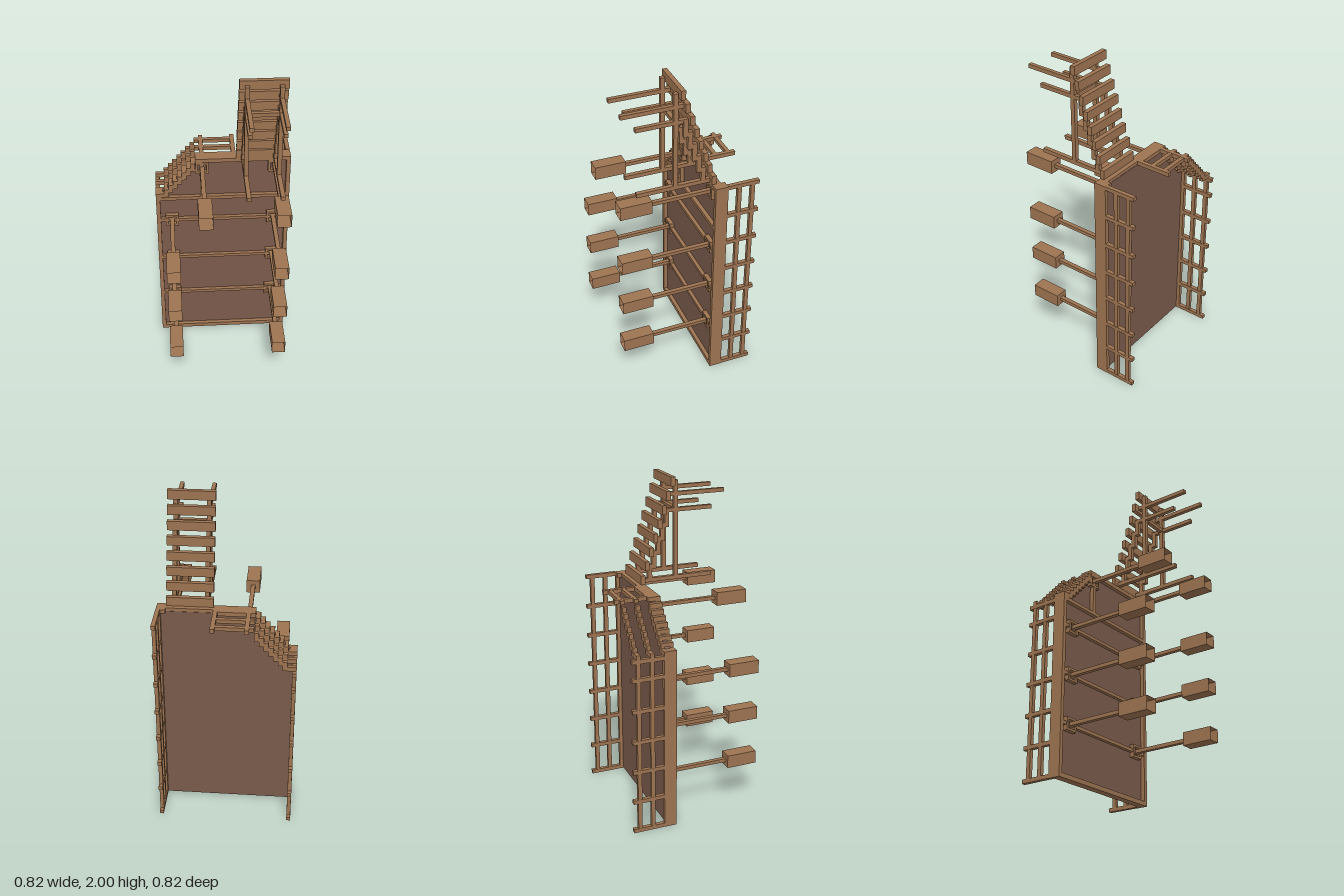
import * as THREE from 'three';

export function createModel() {
  const root = new THREE.Group();
  const wood = new THREE.MeshStandardMaterial({ color: 0x9c7350 });
  wood.name = 'lightWood';
  wood.side = THREE.DoubleSide;
  const board = new THREE.MeshStandardMaterial({ color: 0x795a4b });
  board.name = 'darkBoard';

  const group = (name, parent = root) => {
    const g = new THREE.Group();
    g.name = name;
    parent.add(g);
    return g;
  };
  // Box given by its minimum and maximum on each axis
  const bar = (parent, name, x0, x1, y0, y1, z0, z1) => {
    const m = new THREE.Mesh(new THREE.BoxGeometry(x1 - x0, y1 - y0, z1 - z0), wood);
    m.position.set((x0 + x1) / 2, (y0 + y1) / 2, (z0 + z1) / 2);
    m.name = name;
    parent.add(m);
  };

  const FRONT = -0.14, BACK = -0.217, REAR = -0.41, TOP = 1.37;
  const railZ = [[-0.3, -0.275], [-0.383, -0.358]];

  // Dark wall panel with one cut corner
  const outline = new THREE.Shape();
  [[-0.386, 0.004], [0.386, 0.004], [0.386, 1.35], [-0.15, 1.35], [-0.386, 1.105]]
    .forEach(([x, y], i) => (i ? outline.lineTo(x, y) : outline.moveTo(x, y)));
  const panel = new THREE.Mesh(
    new THREE.ExtrudeGeometry(outline, { depth: 0.03, bevelEnabled: false }), board);
  panel.position.z = -0.195;
  panel.name = 'wallPanel';
  root.add(panel);

  // Frame around the panel and its cross bars
  const frame = group('wallFrame');
  bar(frame, 'rightPost', -0.41, -0.385, 0, 1.1, BACK, FRONT);
  bar(frame, 'leftPost', 0.385, 0.41, 0, TOP, BACK, FRONT);
  bar(frame, 'bottomBar', -0.385, 0.385, 0, 0.027, -0.19, FRONT);
  bar(frame, 'topBar', -0.165, 0.08, 1.345, TOP, BACK, FRONT);
  bar(frame, 'topBar', 0.08, 0.385, 1.345, TOP, -0.193, FRONT);
  bar(frame, 'topCorner', 0.355, 0.385, 1.345, TOP, BACK, -0.193);
  bar(frame, 'upperBar', -0.385, 0.385, 1.075, 1.097, -0.17, FRONT);
  bar(frame, 'divider', -0.138, -0.112, 1.097, 1.345, -0.17, FRONT);
  const rows = [0.32, 0.62, 0.92];
  for (const y of rows) bar(frame, 'crossBar', -0.385, 0.385, y - 0.01, y + 0.01, -0.17, FRONT - 0.003);

  // Stepped slope, repeated on the wall and on both rear rails
  const steps = group('steppedSlope');
  for (const [z0, z1] of [[BACK, FRONT], ...railZ]) {
    for (let i = 0; i < 8; i++) {
      const x = -0.385 + 0.0275 * i, y = 1.125 + 0.0306 * i;
      bar(steps, 'step', i ? x : -0.41, x + 0.0275, y - (i ? 0.055 : 0.027), y, z0, z1);
    }
  }

  // Roof rails behind the wall
  const roof = group('roofRails');
  for (const [z0, z1] of railZ) bar(roof, 'roofRail', -0.165, 0.08, 1.346, TOP - 0.001, z0, z1);
  for (const x of [-0.138, 0.055]) bar(roof, 'roofCross', x, x + 0.026, 1.345, TOP, REAR, BACK);

  // Open lattice wings behind both posts
  for (const [name, x0, height] of [['leftWing', 0.385, TOP], ['rightWing', -0.41, 1.1]]) {
    const wing = group(name);
    const x1 = x0 + 0.025;
    for (const [z0, z1] of railZ) bar(wing, 'upright', x0 + 0.001, x1 - 0.001, 0.002, height - 0.002, z0, z1);
    for (let i = 0; i < 8; i++) {
      const y = 0.013 + 0.1925 * i;
      if (y < height) bar(wing, 'rung', x0, x1, y - 0.012, y + 0.012, REAR, BACK);
    }
    if (height < TOP) bar(wing, 'topRung', x0, x1, 1.075, 1.1, REAR, BACK);
  }

  // Open-ended square box: all faces but the front one
  const hollow = new THREE.BoxGeometry(0.081, 0.081, 0.19);
  hollow.setIndex(Array.from(hollow.index.array).filter((_, i) => i < 24 || i >= 30));
  hollow.clearGroups();

  // Barrels with a port frame at the wall and a hollow muzzle
  const barrels = group('barrels');
  const spots = [[-0.124, 1.306], [0.314, 1.306]];
  for (const y of rows) spots.push([-0.315, y], [0.314, y]);
  for (const [x, y] of spots) {
    const g = group('barrel', barrels);
    g.position.set(x, y, 0);
    bar(g, 'shaft', -0.013, 0.013, -0.011, 0.011, -0.17, 0.22);
    for (const s of [-1, 1]) {
      const c = s * 0.033;
      bar(g, 'portSide', c - 0.007, c + 0.007, -0.04, 0.04, -0.17, FRONT + 0.002);
      bar(g, 'portEdge', -0.026, 0.026, c - 0.007, c + 0.007, -0.17, FRONT + 0.002);
    }
    const muzzle = new THREE.Mesh(hollow, wood);
    muzzle.position.z = 0.315;
    muzzle.name = 'muzzle';
    g.add(muzzle);
  }

  // Leaning tower: overlapping slats rising toward the front
  const tower = group('tower');
  const slatY = i => 1.37 + 0.0822 * i;
  const slatZ = i => -0.152 + 0.0275 * i;
  for (let i = 0; i < 8; i++) {
    bar(tower, 'slat', 0.08, 0.355, slatY(i), slatY(i) + 0.055, slatZ(i) - 0.0137, slatZ(i) + 0.0137);
  }

  // Tower supports, one set on each side
  for (const x0 of [0.109, 0.301]) {
    const side = group('towerSide', tower);
    const x1 = x0 + 0.026;
    for (let i = 1; i < 6; i++) {
      const z = slatZ(i) + 0.0275;
      bar(side, 'stringer', x0, x1, Math.max(1.39, slatY(i) - 0.082), slatY(i) + 0.028, z - 0.0137, z + 0.0137);
    }
    bar(side, 'upright', x0, x1, 1.39, 1.975, 0.058, 0.084);
    bar(side, 'baseRod', x0, x1, 1.372, 1.397, -0.14, 0.302);
    bar(side, 'middleRod', x0 + 0.001, x1 - 0.001, 1.787, 1.811, 0, 0.302);
    bar(side, 'upperRod', x0 + 0.001, x1 - 0.001, 1.882, 1.906, 0.027, 0.383);
  }
  bar(tower, 'towerCross', 0.135, 0.301, 1.788, 1.812, 0.058, 0.084);

  return root;
}
